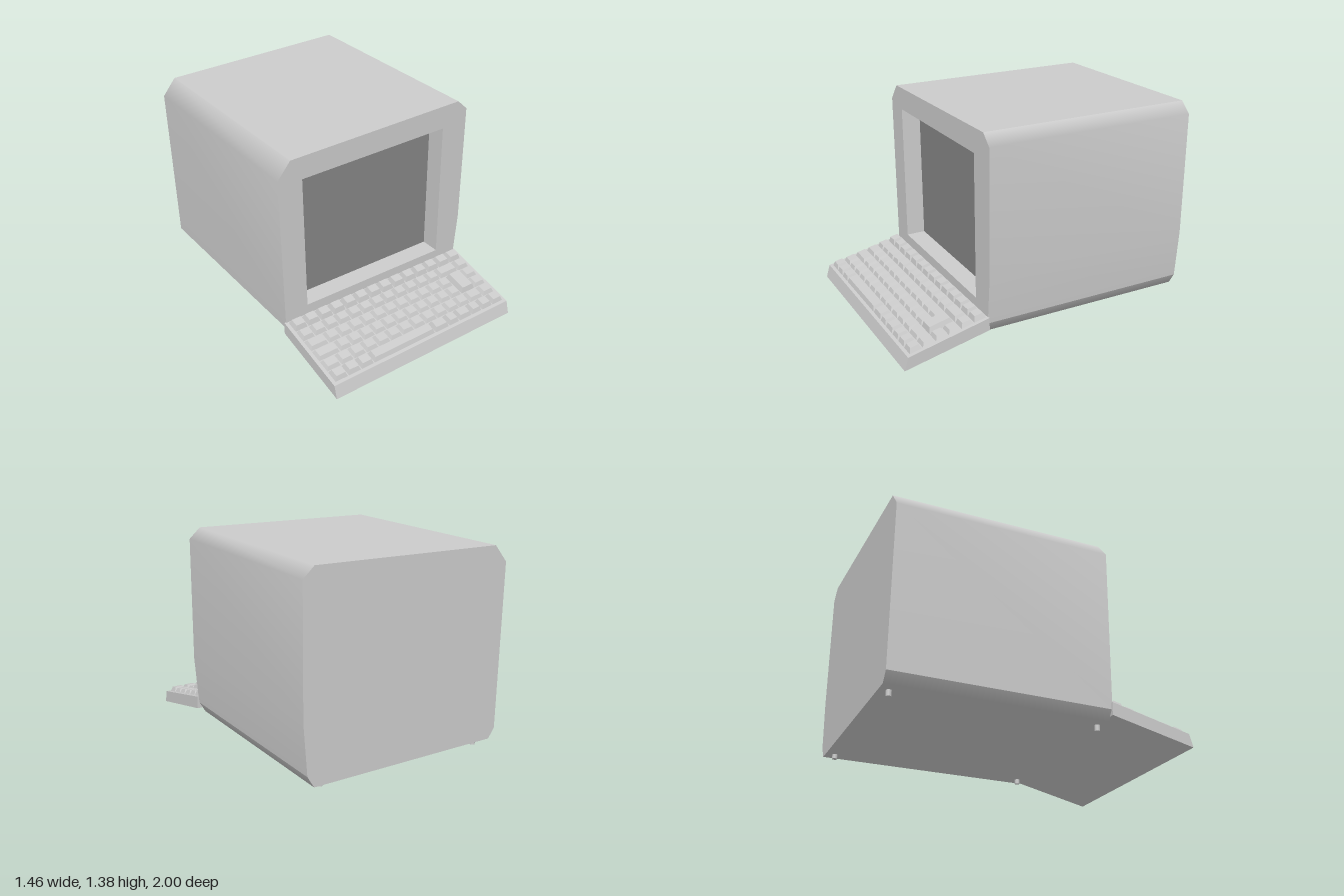
import * as THREE from 'three';

const grey = new THREE.MeshStandardMaterial({ color: 0xcccccc });
const keyGrey = new THREE.MeshStandardMaterial({ color: 0xcccccc, flatShading: true });
const dark = new THREE.MeshStandardMaterial({ color: 0x858585 });

const FRONT = 0.435, BACK = -1, SCREEN_Z = 0.305;

function add(parent, name, geometry, material = grey) {
  const mesh = new THREE.Mesh(geometry, material);
  mesh.name = name;
  parent.add(mesh);
  return mesh;
}

const toShape = (pts) => new THREE.Shape(pts.map(([x, y]) => new THREE.Vector2(x, y)));

// Wall along an outline, smooth across its own corners; faces outward for clockwise points
function wall(pts, zFront, zBack) {
  const pos = [], index = [];
  pts.forEach(([x, y], i) => {
    pos.push(x, y, zFront, x, y, zBack);
    if (i) {
      const a = 2 * i - 2;
      index.push(a, a + 2, a + 3, a, a + 3, a + 1);
    }
  });
  const g = new THREE.BufferGeometry();
  g.setAttribute('position', new THREE.Float32BufferAttribute(pos, 3));
  g.setIndex(index);
  g.computeVertexNormals();
  return g;
}

// Key cap: a box narrowed towards its top
function keyCap(w, h, d) {
  const g = new THREE.BoxGeometry(w, h, d);
  g.translate(0, h / 2, 0);
  const p = g.attributes.position, inset = 0.013;
  for (let i = 0; i < p.count; i++) {
    if (p.getY(i) < h / 2) continue;
    p.setX(i, p.getX(i) - Math.sign(p.getX(i)) * inset);
    p.setZ(i, p.getZ(i) - Math.sign(p.getZ(i)) * inset - 0.003);
  }
  g.computeVertexNormals();
  return g;
}

function buildMonitor() {
  const monitor = new THREE.Group();
  monitor.name = 'monitor';

  // Casing outline, clockwise from the top left, split at its hard edges
  const top = [[-0.64, 1.36], [0.65, 1.38]];
  const right = [[0.65, 1.38], [0.725, 1.31], [0.725, 0.49], [0.70, 0.165]];
  const bottom = [[0.70, 0.165], [0.655, 0.09], [-0.66, 0.10], [-0.705, 0.165]];
  const left = [[-0.705, 0.165], [-0.73, 1.25], [-0.64, 1.36]];
  const sides = { casingTop: top, casingRight: right, casingBottom: bottom, casingLeft: left };
  for (const [name, pts] of Object.entries(sides)) add(monitor, name, wall(pts, FRONT, BACK));
  const outline = [top, right, bottom, left].flatMap((pts) => pts.slice(0, -1));

  // Front frame with its opening
  const opening = [[-0.56, 1.21], [-0.54, 0.28], [0.54, 0.27], [0.53, 1.22]];
  const frame = toShape(outline);
  frame.holes.push(toShape(opening));
  add(monitor, 'frontFrame', new THREE.ShapeGeometry(frame)).position.z = FRONT;

  // Recess walls and the screen behind them
  opening.forEach((p, i) => {
    add(monitor, 'screenRecess', wall([p, opening[(i + 1) % 4]], FRONT, SCREEN_Z));
  });
  add(monitor, 'screen', new THREE.ShapeGeometry(toShape(opening)), dark).position.z = SCREEN_Z;

  // Back panel
  const backPanel = new THREE.ShapeGeometry(toShape(outline.map(([x, y]) => [-x, y])));
  add(monitor, 'backPanel', backPanel.rotateY(Math.PI)).position.z = BACK;

  // Feet
  for (const x of [-0.58, 0.58]) {
    for (const z of [0.395, -0.94]) {
      add(monitor, 'foot', new THREE.CylinderGeometry(0.017, 0.017, 0.05, 16)).position.set(x, 0.085, z);
    }
  }
  return monitor;
}

function buildKeyboard() {
  const keyboard = new THREE.Group();
  keyboard.name = 'keyboard';

  // Sloping base, drawn from the side and extruded across
  const profile = toShape([[-1, 0], [-0.43, 0.125], [-0.43, 0.21], [-0.975, 0.086]]);
  const base = new THREE.ExtrudeGeometry(profile, { depth: 1.43, bevelEnabled: false });
  base.translate(0, 0, -0.715).rotateY(Math.PI / 2);
  add(keyboard, 'keyboardBase', base);

  // Keys lie on the slope, rows counted from the back
  const keys = new THREE.Group();
  keys.name = 'keys';
  keys.position.set(0, 0.086, 0.975);
  keys.rotation.x = Math.atan2(0.124, 0.545);
  keyboard.add(keys);

  const same = (n, w) => Array(n).fill(w);
  const rows = [
    same(14, 1),
    [...same(12, 0.95), 1.6, 1],
    [1.4, ...same(11, 0.945), 1.205, 1],
    [1.65, ...same(11, 0.9225), 1.2025, 1],
    [1.1, ...same(11, 0.975), 1.175, 1],
    [1, 1, 1, 5, 1.2, 0.9, 1.1, 0.9, 0.95, 0.95],
  ];
  const heights = [0.034, 0.028, 0.025, 0.025, 0.025, 0.03];
  const unit = 1.39 / 14, pitch = 0.0885, gap = 0.008;
  rows.forEach((widths, r) => {
    let x = -0.695;
    widths.forEach((w, i) => {
      const width = w * unit;
      const tall = r === 2 && i === 12;
      const hidden = r === 3 && i === 12; // taken up by the tall key above
      if (!hidden) {
        const depth = tall ? 2 * pitch : pitch;
        const cap = keyCap(width - gap, heights[r] + (tall ? 0.012 : 0), depth - gap);
        const name = tall ? 'enterKey' : w > 4 ? 'spaceBar' : 'key';
        add(keys, name, cap, keyGrey).position.set(x + width / 2, 0, -0.549 + r * pitch + depth / 2);
      }
      x += width;
    });
  });
  return keyboard;
}

export function createModel() {
  const model = new THREE.Group();
  model.name = 'computerTerminal';
  model.add(buildMonitor(), buildKeyboard());
  return model;
}
